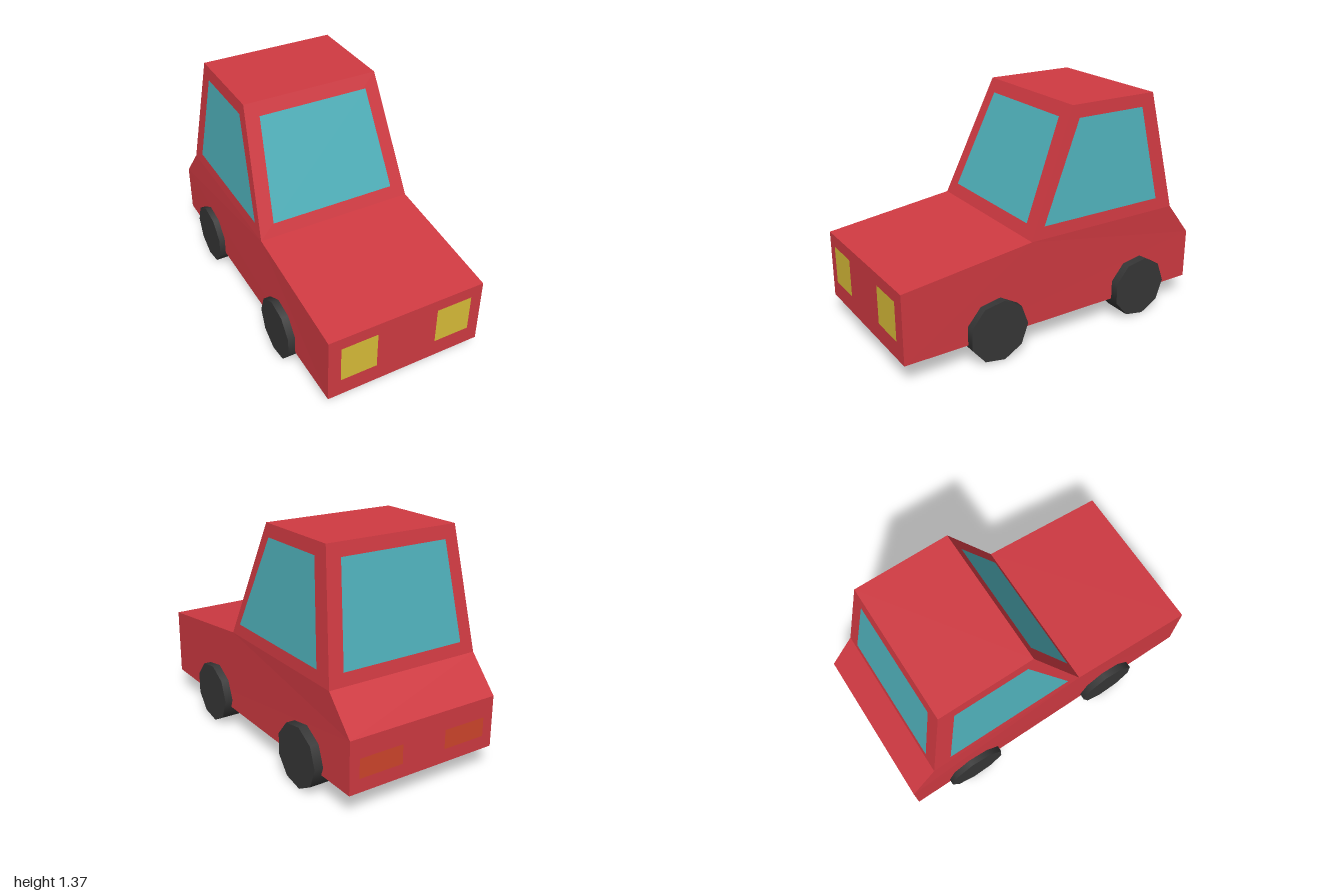
import * as THREE from 'three';

const mat = (name, color) => {
  const m = new THREE.MeshStandardMaterial({ color });
  m.name = name;
  return m;
};

export function createModel() {
  const car = new THREE.Group();
  car.name = 'car';
  const red = mat('red paint', 0xd03a42);
  const glass = mat('teal glass', 0x4fb0ba);
  const yellow = mat('yellow lamp', 0xd8bc38);
  const orange = mat('orange lamp', 0xd0452c);
  const rubber = mat('dark rubber', 0x363636);

  const add = (name, geometry, material) => {
    const mesh = new THREE.Mesh(geometry, material);
    mesh.name = name;
    car.add(mesh);
    return mesh;
  };

  // Flat panel: corners run anticlockwise as seen from outside
  const panel = (name, corners, material) => {
    const g = new THREE.BufferGeometry();
    g.setAttribute('position', new THREE.Float32BufferAttribute(corners.flat(), 3));
    g.setIndex([0, 1, 2, 0, 2, 3]);
    g.computeVertexNormals();
    return add(name, g, material);
  };

  // Lower body: side profile as (z, y), with a slightly skewed tail
  const profile = [[1, 0.135], [1, 0.555], [0.195, 0.655], [-0.83, 0.655], [-1, 0.445], [-1, 0.135]];
  const body = new THREE.ExtrudeGeometry(
    new THREE.Shape(profile.map(([z, y]) => new THREE.Vector2(z, y))),
    { depth: 0.98, bevelEnabled: false });
  body.rotateY(-Math.PI / 2).translate(0.49, 0, 0);
  const bp = body.attributes.position;
  for (let i = 0; i < bp.count; i++) if (bp.getZ(i) < -0.9) bp.setX(i, bp.getX(i) - 0.01);
  body.computeVertexNormals();
  add('lowerBody', body, red);

  // Cabin: a box tapered towards the roof
  const cabin = new THREE.BoxGeometry(2, 2, 2).toNonIndexed();
  const cp = cabin.attributes.position;
  for (let i = 0; i < cp.count; i++) {
    const top = cp.getY(i) > 0, front = cp.getZ(i) > 0;
    cp.setXYZ(i, cp.getX(i) * (top ? 0.422 : 0.49), top ? 1.375 : 0.655,
      front ? (top ? -0.115 : 0.195) : (top ? -0.695 : -0.83));
  }
  cabin.computeVertexNormals();
  add('cabin', cabin, red);

  // Windows, just proud of the cabin walls
  const lo = 0.73, hi = 1.3;
  panel('windscreen', [[-0.395, lo, 0.168], [0.395, lo, 0.168], [0.343, hi, -0.078], [-0.343, hi, -0.078]], glass);
  panel('rearWindow', [[0.395, lo, -0.821], [-0.395, lo, -0.821], [-0.343, hi, -0.714], [0.343, hi, -0.714]], glass);
  const side = [[0.487, lo, 0.11], [0.487, lo, -0.71], [0.433, hi, -0.61], [0.433, hi, -0.155]];
  panel('leftWindow', side, glass);
  panel('rightWindow', side.map(([x, y, z]) => [-x, y, z]).reverse(), glass);

  // Lamps
  const lamp = (name, x0, x1, y0, y1, z, material) =>
    panel(name, [[x0, y0, z], [x1, y0, z], [x1, y1, z], [x0, y1, z]], material);
  lamp('leftHeadlight', 0.19, 0.415, 0.25, 0.485, 1.004, yellow);
  lamp('rightHeadlight', -0.415, -0.19, 0.25, 0.485, 1.004, yellow);
  lamp('leftTailLight', 0.42, 0.14, 0.218, 0.333, -1.004, orange);
  lamp('rightTailLight', -0.15, -0.43, 0.218, 0.333, -1.004, orange);

  // Nine-sided wheels with a vertex pointing backwards
  const wheel = new THREE.CylinderGeometry(0.188, 0.188, 0.18, 9, 1, false, Math.PI);
  wheel.rotateZ(Math.PI / 2);
  for (const [end, z] of [['front', 0.435], ['rear', -0.577]]) {
    for (const [s, label] of [[1, 'Left'], [-1, 'Right']]) {
      add(`${end}${label}Wheel`, wheel, rubber).position.set(s * 0.445, 0.187, z);
    }
  }
  return car;
}
